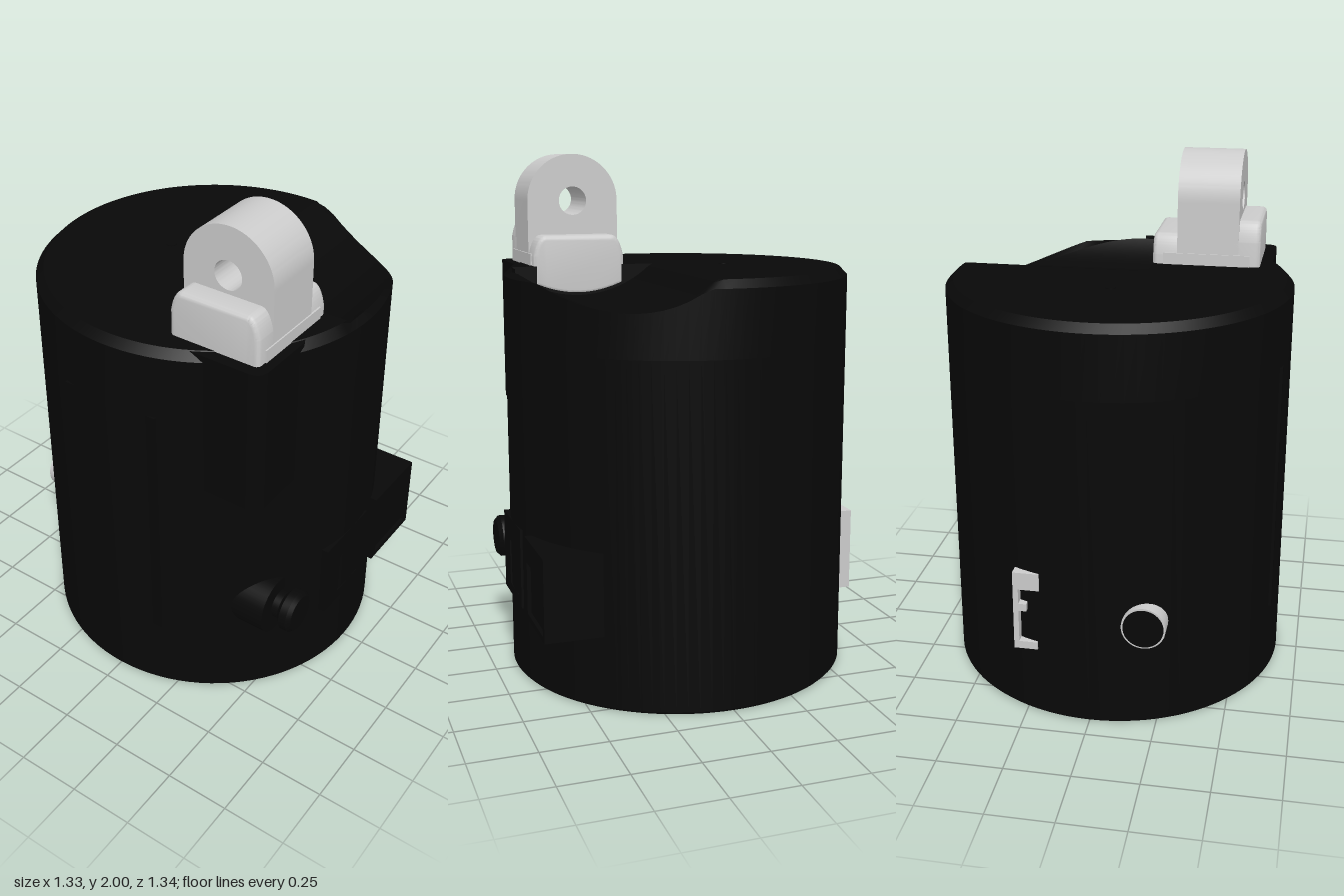
import * as THREE from 'three';
import { toCreasedNormals } from 'three/addons/utils/BufferGeometryUtils.js';

const R = 0.665, TOP = 1.575, CHAMFER = 0.03, STEP_X = -0.1;
const black = new THREE.MeshStandardMaterial({ color: 0x080808, side: THREE.DoubleSide });
const grey = new THREE.MeshStandardMaterial({ color: 0xcccccc });

export function createModel() {
  const model = new THREE.Group();

  function add(name, geometry, material, x = 0, y = 0, z = 0) {
    const mesh = new THREE.Mesh(geometry, material);
    mesh.name = name;
    mesh.position.set(x, y, z);
    model.add(mesh);
    return mesh;
  }

  // Strip between two curves p(t) and q(t), each returning [x, y, z]
  function ruled(p, q, n = 96) {
    const g = new THREE.PlaneGeometry(1, 1, n, 1);
    for (let i = 0; i <= n; i++) {
      g.attributes.position.setXYZ(i, ...p(i / n));
      g.attributes.position.setXYZ(i + n + 1, ...q(i / n));
    }
    g.computeVertexNormals();
    return g;
  }

  // Rounded trough running along x in the top of the body
  const trough = (z) => {
    const d = Math.abs(z - 0.36);
    return d < 0.29 ? Math.min(TOP, 1.885 - Math.sqrt(0.425 ** 2 - d * d)) : TOP;
  };
  const rim = (r, limit) => (t) => {
    const a = t * Math.PI * 2, x = r * Math.sin(a), z = r * Math.cos(a);
    return [x, x > STEP_X ? Math.min(limit, trough(z)) : limit, z];
  };

  // Drum: outside wall, underside with round recess
  const profile = [[0, 0.15], [0.42, 0.15], [0.42, 0], [R - 0.01, 0], [R, 0.01], [R, 1.3]]
    .map(([x, y]) => new THREE.Vector2(x, y));
  add('drum', toCreasedNormals(new THREE.LatheGeometry(profile, 96), 0.5), black);
  add('upperWall', ruled(rim(R, TOP - CHAMFER), (t) => {
    const [x, , z] = rim(R, TOP)(t);
    return [x, 1.3, z];
  }), black);
  add('rimChamfer', ruled(rim(R - CHAMFER, TOP), rim(R, TOP - CHAMFER)), black);

  // Top surface: flat part, trough floor and the step between them
  const row = (t) => {
    const a = (t - 0.5) * Math.PI, r = R - CHAMFER;
    const z = r * Math.sin(a), s = r * Math.cos(a);
    return { z, s, mid: Math.max(-s, STEP_X) };
  };
  const edge = (key, sign, low) => (t) => {
    const k = row(t);
    return [sign * k[key], low ? trough(k.z) : TOP, k.z];
  };
  add('topFlat', ruled(edge('s', -1, false), edge('mid', 1, false)), black);
  add('topTrough', ruled(edge('mid', 1, true), edge('s', 1, true)), black);
  add('troughStep', ruled(edge('mid', 1, false), edge('mid', 1, true)), black);
  add('topPin', new THREE.CylinderGeometry(0.02, 0.02, 0.006, 20), black, 0, TOP, -0.2);

  // Screw in the floor of the underside recess
  add('undersideScrew', new THREE.CylinderGeometry(0.04, 0.04, 0.04, 24), black, 0, 0.14, 0.3);

  // Corner block carrying the bracket
  const block = new THREE.Shape();
  block.moveTo(-0.12, -0.2);
  block.lineTo(-0.565, -0.2);
  block.lineTo(-0.565, -0.53);
  block.quadraticCurveTo(-0.565, -0.58, -0.515, -0.58);
  block.lineTo(-0.3, -0.58);
  block.lineTo(-0.12, -0.5);
  const blockGeo = new THREE.ExtrudeGeometry(block, { depth: 0.57, bevelEnabled: false });
  add('cornerBlock', blockGeo.rotateX(-Math.PI / 2), black, 0, 1.002, 0);

  // Shallow side panel
  add('sidePanel', new THREE.BoxGeometry(0.1, 1, 0.4), black, -0.595, 0.8, 0);

  // Bracket: outlines in the z-y plane, extruded along x
  function alongX(shape, x0, x1, bevel = 0) {
    const g = new THREE.ExtrudeGeometry(shape, {
      depth: x1 - x0 - 2 * bevel, curveSegments: 32, bevelEnabled: bevel > 0,
      bevelSize: bevel, bevelThickness: bevel, bevelOffset: -bevel, bevelSegments: 3,
    });
    g.rotateY(Math.PI / 2).translate(x0 + bevel, 0, 0.36);
    return toCreasedNormals(g, 0.6);
  }
  const tongue = new THREE.Shape();
  tongue.moveTo(-0.18, 1.46);
  tongue.lineTo(0.18, 1.46);
  tongue.lineTo(0.18, 1.82);
  tongue.absarc(0, 1.82, 0.18, 0, Math.PI);
  tongue.closePath();
  tongue.holes.push(new THREE.Path().absarc(0, 1.82, 0.055, 0, Math.PI * 2, true));
  add('bracketTongue', alongX(tongue, -0.435, -0.195), grey);

  function flange(top) {
    const s = new THREE.Shape();
    s.moveTo(-0.18, 1.5);
    s.quadraticCurveTo(0, 1.42, 0.18, 1.5);
    s.lineTo(0.18, top - 0.08);
    s.quadraticCurveTo(0.165, top, 0.13, top);
    s.lineTo(-0.13, top);
    s.quadraticCurveTo(-0.165, top, -0.18, top - 0.08);
    return s;
  }
  add('bracketInnerFlange', alongX(flange(1.69), -0.24, -0.098, 0.018), grey);
  add('bracketOuterFlange', alongX(flange(1.75), -0.52, -0.4, 0.018), grey);
  add('bracketFoot', new THREE.BoxGeometry(0.34, 0.16, 0.37), grey, -0.31, 1.54, 0.36);

  // Front knob on its collar
  const disc = (r, h) => new THREE.CylinderGeometry(r, r, h, 40).rotateX(Math.PI / 2);
  add('knobCollar', disc(0.115, 0.16), black, -0.39, 0.43, 0.49);
  add('knobStem', disc(0.055, 0.2), black, -0.38, 0.43, 0.53);
  const knob = [[0, 0], [0.06, 0], [0.085, 0.02], [0.085, 0.05], [0.07, 0.065], [0, 0.065]]
    .map(([x, y]) => new THREE.Vector2(x, y));
  add('knob', toCreasedNormals(new THREE.LatheGeometry(knob, 40).rotateX(Math.PI / 2), 0.5),
    black, -0.38, 0.43, 0.6);

  // Front housings with a recessed window
  function housing(name, x0, x1, window) {
    const s = new THREE.Shape();
    s.moveTo(x0, 0.28);
    s.lineTo(x1, 0.28);
    s.lineTo(x1, 0.595);
    s.lineTo(x0, 0.595);
    const [a, b, c, d] = window, hole = new THREE.Path();
    hole.moveTo(a, c);
    hole.lineTo(a, d);
    hole.lineTo(b, d);
    hole.lineTo(b, c);
    s.holes.push(hole);
    add(name, new THREE.ExtrudeGeometry(s, { depth: 0.235, bevelEnabled: false }), black, 0, 0, 0.43);
    add(name + 'Floor', new THREE.BoxGeometry(x1 - x0 - 0.01, 0.3, 0.2), black,
      (x0 + x1) / 2, 0.437, 0.55);
  }
  housing('frontPlate', -0.19, 0.11, [-0.09, 0.06, 0.32, 0.5]);
  housing('frontSocket', 0.19, 0.495, [0.22, 0.47, 0.3, 0.5]);

  // Rear button with pale rim and dark face
  add('rearButtonRim', disc(0.083, 0.1), grey, -0.205, 0.43, -0.622);
  add('rearButtonFace', disc(0.076, 0.01), black, -0.205, 0.43, -0.67);

  // Rear latch: upright strip with three short arms
  [[0.27, 0.29, 0.28, 0.6], [0.19, 0.28, 0.53, 0.6], [0.24, 0.28, 0.44, 0.47], [0.2, 0.28, 0.28, 0.31]]
    .forEach(([x0, x1, y0, y1]) => add('rearLatch',
      new THREE.BoxGeometry(x1 - x0, y1 - y0, 0.06), grey, (x0 + x1) / 2, (y0 + y1) / 2, -0.613));

  return model;
}
